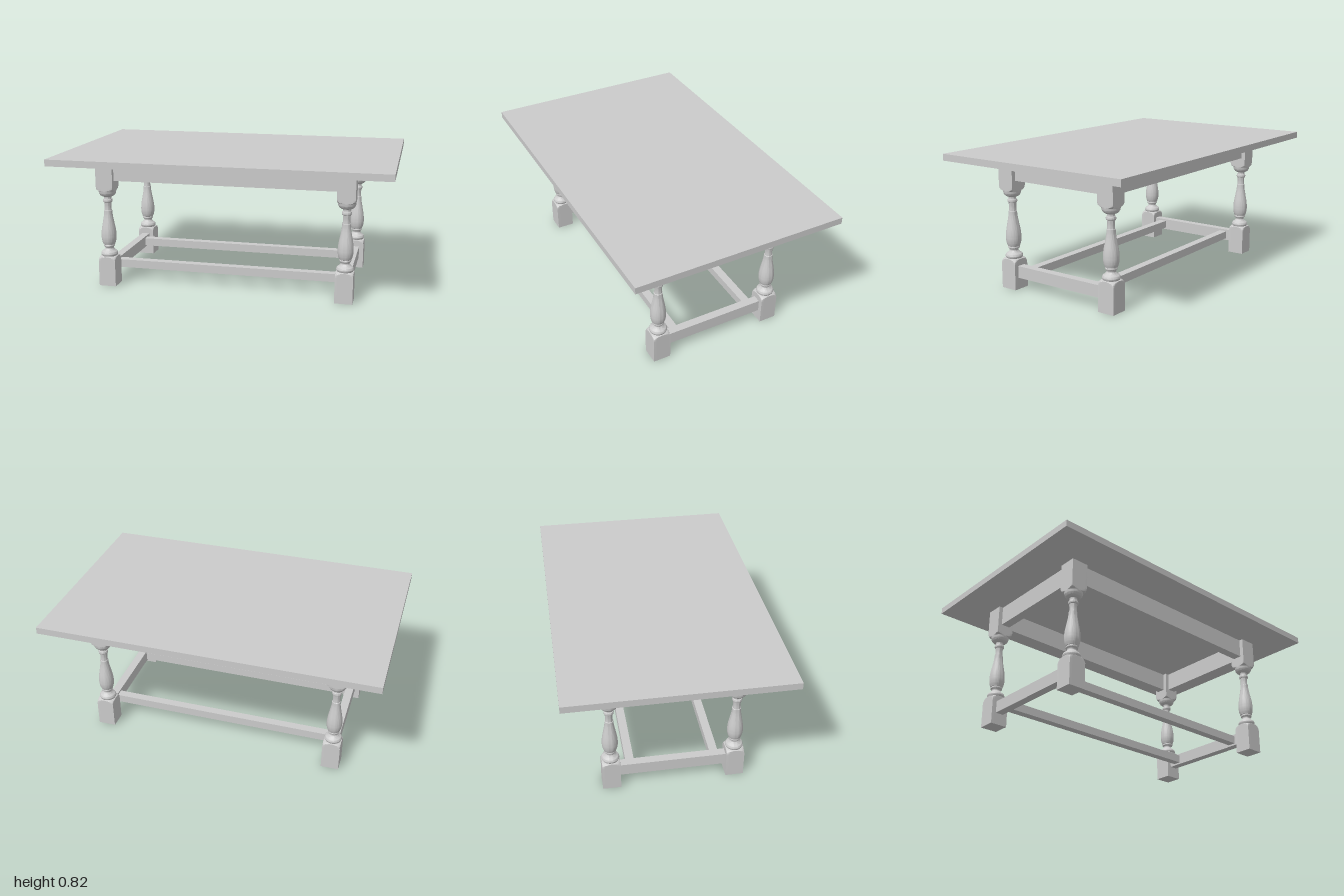
import * as THREE from 'three';
import { toCreasedNormals } from 'three/addons/utils/BufferGeometryUtils.js';

const material = new THREE.MeshStandardMaterial({ color: 0xcccccc });
const LEG_X = 0.727, LEG_Z = 0.364, HALF = 0.053, TOP_Y = 0.78;
const CORNER = HALF * Math.SQRT2;

function addBox(group, name, [w, h, d], [x, y, z]) {
  const mesh = new THREE.Mesh(new THREE.BoxGeometry(w, h, d), material);
  mesh.name = name;
  mesh.position.set(x, y, z);
  group.add(mesh);
}

// Samples a smooth curve through a few radius/height points
function smooth(points, steps) {
  return new THREE.SplineCurve(points.map(([r, y]) => new THREE.Vector2(r, y))).getPoints(steps);
}

// Turned leg: a lathe clamped to a square, so the end blocks are square with rounded-off shoulders
function legGeometry() {
  const profile = [
    ...[[0, 0], [CORNER, 0], [CORNER, 0.155]].map(([r, y]) => new THREE.Vector2(r, y)),
    // lower block shoulder
    ...smooth([[0.0735, 0.163], [0.067, 0.176], [0.054, 0.184]], 6),
    // bead and neck
    ...smooth([[0.047, 0.186], [0.052, 0.198], [0.047, 0.211], [0.038, 0.216]], 10),
    ...smooth([[0.036, 0.219], [0.028, 0.228], [0.026, 0.235], [0.030, 0.243]], 8),
    // vase
    ...smooth([[0.034, 0.245], [0.035, 0.252], [0.033, 0.256]], 4),
    ...smooth([[0.036, 0.258], [0.043, 0.28], [0.046, 0.31], [0.043, 0.35],
      [0.034, 0.4], [0.027, 0.44], [0.025, 0.47]], 24),
    // upper neck with ring
    ...smooth([[0.022, 0.472], [0.021, 0.495], [0.023, 0.52]], 6),
    ...smooth([[0.027, 0.523], [0.029, 0.532], [0.027, 0.541]], 6),
    ...smooth([[0.023, 0.543], [0.022, 0.552], [0.023, 0.558]], 4),
    // cup and upper block shoulder
    ...smooth([[0.031, 0.559], [0.041, 0.565], [0.050, 0.577], [0.053, 0.59]], 10),
    ...smooth([[0.054, 0.595], [0.067, 0.603], [0.0735, 0.616], [CORNER, 0.625]], 8),
    new THREE.Vector2(CORNER, TOP_Y),
    new THREE.Vector2(0, TOP_Y),
  ];
  const geometry = new THREE.LatheGeometry(profile, 64);
  const p = geometry.attributes.position;
  for (let i = 0; i < p.count; i++) {
    const x = p.getX(i), z = p.getZ(i);
    const k = Math.min(1, HALF / Math.max(Math.abs(x), Math.abs(z), 1e-6));
    p.setX(i, x * k);
    p.setZ(i, z * k);
  }
  return toCreasedNormals(geometry, Math.PI / 5);
}

export function createModel() {
  const table = new THREE.Group();
  table.name = 'table';

  addBox(table, 'tabletop', [2, 0.04, 1.27], [0, 0.8, 0]);

  const leg = legGeometry();
  const spanX = 2 * (LEG_X - HALF), spanZ = 2 * (LEG_Z - HALF);
  for (const s of [-1, 1]) {
    for (const t of [-1, 1]) {
      const mesh = new THREE.Mesh(leg, material);
      mesh.name = `${t > 0 ? 'front' : 'back'}${s > 0 ? 'Left' : 'Right'}Leg`;
      mesh.position.set(s * LEG_X, 0, t * LEG_Z);
      table.add(mesh);
    }
    // aprons under the top
    addBox(table, 'longApron', [spanX, 0.12, 0.055], [0, 0.72, s * LEG_Z]);
    addBox(table, 'sideApron', [0.055, 0.12, spanZ], [s * LEG_X, 0.72, 0]);
    // side stretchers join the legs, long stretchers join the side stretchers
    addBox(table, 'sideStretcher', [0.05, 0.073, spanZ], [s * LEG_X, 0.107, 0]);
    addBox(table, 'longStretcher', [2 * LEG_X - 0.05, 0.05, 0.05], [0, 0.107, s * 0.25]);
  }
  return table;
}
